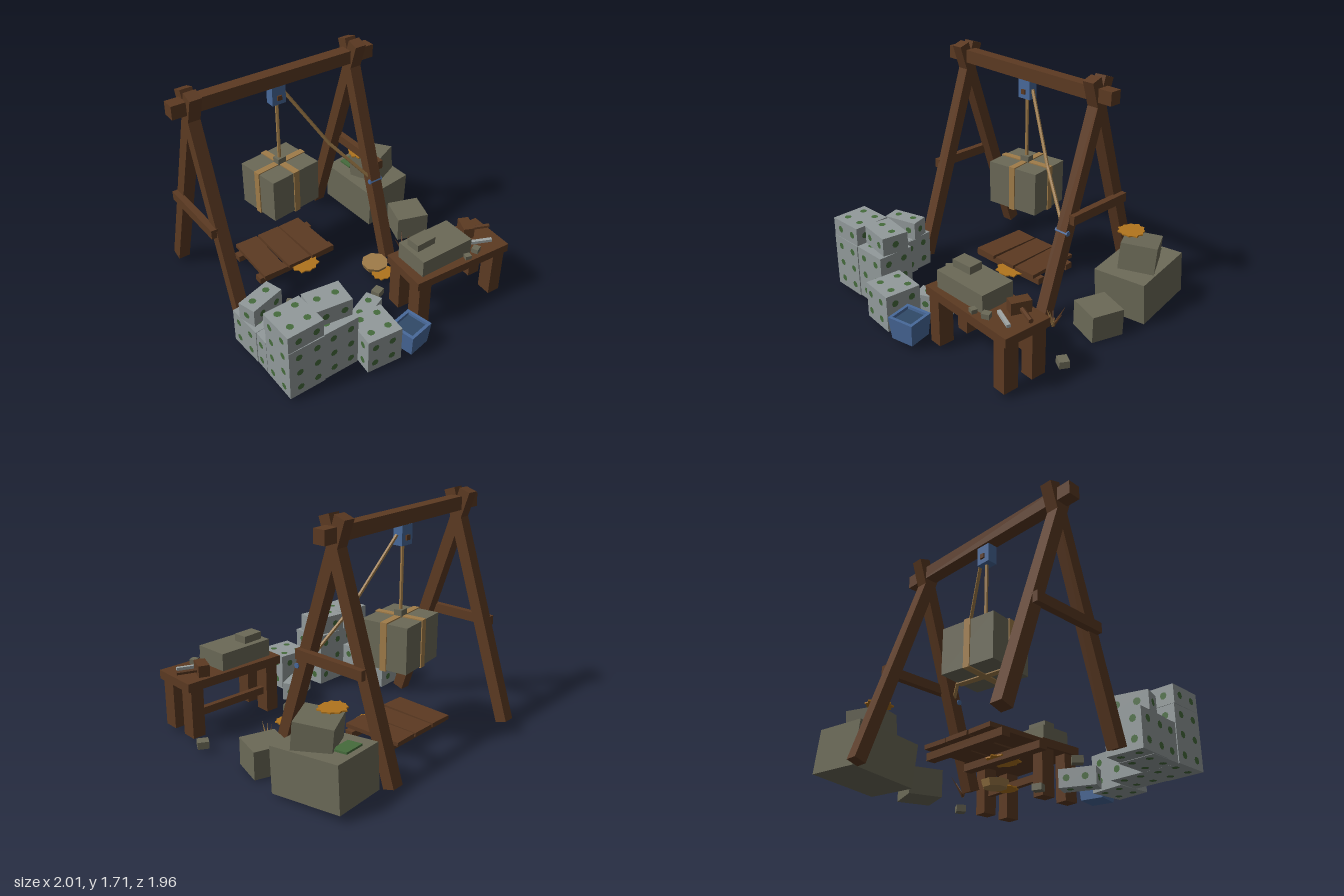
import * as THREE from 'three';

const mat = (name, color, side = THREE.FrontSide) => {
  const m = new THREE.MeshStandardMaterial({ color, side, flatShading: true });
  m.name = name;
  return m;
};

export function createModel() {
  const root = new THREE.Group();
  root.name = 'stonemasonYard';
  const wood = mat('brown wood', 0x5c3a22);
  const stone = mat('raw stone', 0x6b6957);
  const dressed = mat('dressed stone', 0x929a9b);
  const moss = mat('moss green', 0x456b3c);
  const rope = mat('tan rope', 0xa07c49);
  const blue = mat('blue metal', 0x48699a);
  const darkBlue = mat('dark blue water', 0x304a68);
  const orange = mat('orange leaf', 0xb0741d);
  const steel = mat('pale steel', 0x9fa5a4);

  const add = (parent, name, geo, m, p, r = [0, 0, 0]) => {
    const mesh = new THREE.Mesh(geo, m);
    mesh.name = name;
    mesh.position.set(...p);
    mesh.rotation.set(...r);
    parent.add(mesh);
    return mesh;
  };
  const box = (parent, name, m, size, p, r) =>
    add(parent, name, new THREE.BoxGeometry(...size), m, p, r);
  const group = (name, p = [0, 0, 0], ry = 0, parent = root) => {
    const g = new THREE.Group();
    g.name = name;
    g.position.set(...p);
    g.rotation.y = ry;
    parent.add(g);
    return g;
  };
  // Round rod between two points, tapering when the end radii differ
  const rod = (parent, name, m, a, b, r0, r1 = r0, sides = 6) => {
    const A = new THREE.Vector3(...a), B = new THREE.Vector3(...b);
    const d = B.clone().sub(A);
    const mesh = add(parent, name, new THREE.CylinderGeometry(r1, r0, d.length(), sides), m,
      A.clone().add(B).multiplyScalar(0.5).toArray());
    mesh.quaternion.setFromUnitVectors(new THREE.Vector3(0, 1, 0), d.normalize());
    return mesh;
  };

  // Hoist: two crossed leg pairs, braces and the top beam
  const hoist = group('hoistFrame');
  for (const [x, out] of [[-0.85, -1], [0.455, 1]]) {
    for (const s of [-1, 1]) {
      const dz = -s * 0.55, dy = 1.66;
      box(hoist, 'hoistLeg', wood, [0.09, Math.hypot(dz, dy), 0.088],
        [x, 0.86, -0.455 + s * 0.21], [Math.atan2(dz, dy), 0, 0]);
    }
    box(hoist, 'sideBrace', wood, [0.05, 0.07, 0.575], [x + out * 0.06, 0.745, -0.453]);
  }
  box(hoist, 'topBeam', wood, [1.61, 0.098, 0.095], [-0.195, 1.59, -0.455], [0, 0, -0.013]);

  // Pulley, ropes and cleat
  box(hoist, 'pulleyBlock', blue, [0.11, 0.14, 0.075], [-0.197, 1.467, -0.455]);
  box(hoist, 'pulleyAxle', wood, [0.035, 0.035, 0.1], [-0.197, 1.45, -0.455]);
  rod(hoist, 'liftRope', rope, [-0.197, 1.4, -0.455], [-0.197, 0.93, -0.455], 0.013);
  const path = [[-0.14, 1.47, -0.45], [0.15, 1.0, -0.31], [0.43, 0.66, -0.175]];
  for (let i = 0; i < 2; i++) rod(hoist, 'haulRope', rope, path[i], path[i + 1], 0.013);
  rod(hoist, 'ropeCleat', blue, [0.4, 0.645, -0.145], [0.51, 0.645, -0.145], 0.02);

  // Hanging stone with crossed straps
  const load = group('hangingLoad', [-0.195, 0.73, -0.455], 0.13);
  box(load, 'hangingStone', stone, [0.425, 0.33, 0.36], [0, 0, 0]);
  box(load, 'lengthStrap', rope, [0.05, 0.346, 0.376], [0, 0, 0]);
  box(load, 'crossStrap', rope, [0.441, 0.346, 0.05], [0, 0, 0]);
  box(load, 'liftingEye', stone, [0.072, 0.05, 0.06], [0, 0.19, 0]);

  // Pallet beneath the load
  const pallet = group('pallet', [-0.2, 0, -0.455]);
  for (const z of [-0.145, 0.17])
    box(pallet, 'palletRunner', wood, [0.68, 0.05, 0.065], [0, 0.055, z]);
  [-0.21, 0, 0.205].forEach((x, i) =>
    box(pallet, 'palletPlank', wood, [0.19, 0.03, 0.46], [x, 0.095, 0], [0, (i - 1) * 0.03, 0]));

  // Raw stones and rubble: size, position, rotation
  for (const [s, p, r] of [
    [[0.41, 0.32, 0.53], [0.77, 0.185, -0.65], [0.075, 0.1, 0.03]],
    [[0.26, 0.2, 0.265], [0.79, 0.435, -0.615], [-0.1, 0.47, 0]],
    [[0.255, 0.2, 0.245], [0.81, 0.11, -0.145], [0, -0.33, 0]],
  ]) box(root, 'rawStone', stone, s, p, r);
  for (const [s, p, ry] of [
    [0.075, [-0.49, 0.055, 0.085], 0.8], [0.075, [0.105, 0.055, 0.355], 0.35],
    [0.08, [0.93, 0.055, 0.355], -0.55], [0.045, [0.555, 0.472, 0.79], -0.3],
    [0.055, [0.655, 0.475, 0.77], 0.4],
  ]) box(root, 'stoneChip', stone, [s, s * 0.65, s * 0.9], p, [0, ry, 0]);
  box(root, 'mossPatch', moss, [0.16, 0.014, 0.11], [0.73, 0.365, -0.8], [0.075, 0.1, 0.03]);

  // Ragged orange leaves, flat
  for (const [x, y, z, r] of [[-0.15, 0.05, -0.245, 0.115], [0.275, 0.045, 0.195, 0.09], [0.685, 0.555, -0.64, 0.1]]) {
    const pts = [];
    for (let i = 0; i < 22; i++) {
      const a = i / 22 * Math.PI * 2, k = r * (i % 2 ? 0.86 : 1 + 0.07 * Math.sin(i * 2.3));
      pts.push(new THREE.Vector2(Math.cos(a) * k, Math.sin(a) * k));
    }
    add(root, 'fallenLeaf', new THREE.ExtrudeGeometry(new THREE.Shape(pts), { depth: 0.01, bevelEnabled: false }),
      orange, [x, y, z], [-Math.PI / 2 + 0.05, 0, 0]);
  }

  // Rope coil and splintered stakes
  add(root, 'ropeCoil', new THREE.CylinderGeometry(0.105, 0.085, 0.05, 8), rope, [0.28, 0.06, 0.1], [0, 0.39, 0]);
  const tuft = group('splinters', [0.585, 0.03, 0.07]);
  for (let i = 0; i < 7; i++) {
    const a = i * 2.4 + 0.5, l = 0.05 + (i % 3) * 0.02;
    rod(tuft, 'splinter', i % 3 ? wood : rope, [0, 0, 0],
      [Math.cos(a) * l * 0.8, 0.1 + (i % 4) * 0.018, Math.sin(a) * l], 0.013, 0.001, 4);
  }

  // Dressed stone blocks with moss dots on every face
  const dot = new THREE.CircleGeometry(0.026, 8);
  const block = (size, p, ry) => {
    const g = group('dressedBlock', p, ry);
    box(g, 'blockBody', dressed, size, [0, 0, 0]);
    const spots = (len) => {
      const n = Math.max(1, Math.round(len / 0.14));
      return Array.from({ length: n }, (_, i) => (i - (n - 1) / 2) * 0.135);
    };
    for (let axis = 0; axis < 3; axis++) for (const s of [-1, 1]) {
      const u = (axis + 1) % 3, v = (axis + 2) % 3;
      for (const a of spots(size[u])) for (const b of spots(size[v])) {
        const q = [0, 0, 0];
        q[axis] = s * (size[axis] / 2 + 0.002);
        q[u] = a + 0.012 * Math.sin(a * 90 + b * 50 + axis);
        q[v] = b;
        const r = [[0, s * Math.PI / 2, 0], [-s * Math.PI / 2, 0, 0], [0, s > 0 ? 0 : Math.PI, 0]][axis];
        add(g, 'mossDot', dot, moss, q, r);
      }
    }
  };
  const c = 0.275, h = 0.137;
  block([c, 0.41, c], [-0.822, 0.235, 0.66], 0);
  block([c, h, c], [-0.825, 0.509, 0.655], 0.02);
  block([c, 0.41, c], [-0.55, 0.235, 0.653], 0);
  block([c, h, 0.2], [-0.55, 0.509, 0.63], -0.14);
  block([c, c, c], [-0.832, 0.168, 0.255], 0.05);
  block([c, c, 0.26], [-0.82, 0.165, 0.385], 0);
  block([c, h, 0.137], [-0.825, 0.374, 0.247], 0.28);
  block([0.265, c, 0.27], [-0.275, 0.168, 0.793], -0.1);
  block([c, h, 0.127], [-0.14, 0.1, 0.518], 0.42);

  // Square tapered bucket
  const bucket = group('bucket', [-0.013, 0.03, 0.86], 0.2);
  const q = Math.SQRT2;
  const profile = [[0, 0], [0.088, 0], [0.103, 0.17], [0.08, 0.17], [0.077, 0.12]]
    .map(([x, y]) => new THREE.Vector2(x * q, y));
  add(bucket, 'bucketShell', new THREE.LatheGeometry(profile, 4), blue, [0, 0, 0], [0, Math.PI / 4, 0]);
  box(bucket, 'bucketWater', darkBlue, [0.157, 0.008, 0.157], [0, 0.145, 0]);

  // Workbench
  const bench = group('workbench', [0.512, 0, 0.64], -0.068);
  box(bench, 'benchTop', wood, [0.81, 0.065, 0.365], [0, 0.423, 0]);
  for (const x of [-0.33, 0.33]) for (const z of [-0.115, 0.115])
    box(bench, 'benchLeg', wood, [0.1, 0.362, 0.115], [x, 0.211, z]);
  box(bench, 'benchStretcher', wood, [0.58, 0.055, 0.04], [0, 0.193, -0.115]);

  // Work in progress and tools on the bench
  box(root, 'benchStone', stone, [0.44, 0.13, 0.265], [0.39, 0.52, 0.625], [0, -0.015, 0]);
  box(root, 'smallStone', stone, [0.162, 0.057, 0.108], [0.285, 0.612, 0.592], [0, 0.03, 0]);
  box(root, 'malletHead', wood, [0.08, 0.085, 0.14], [0.742, 0.5, 0.57], [0, -0.42, 0]);
  rod(root, 'malletHandle', wood, [0.76, 0.49, 0.575], [0.91, 0.49, 0.64], 0.017);
  box(root, 'chisel', steel, [0.175, 0.022, 0.026], [0.75, 0.468, 0.715], [0, -0.42, 0]);

  return root;
}
